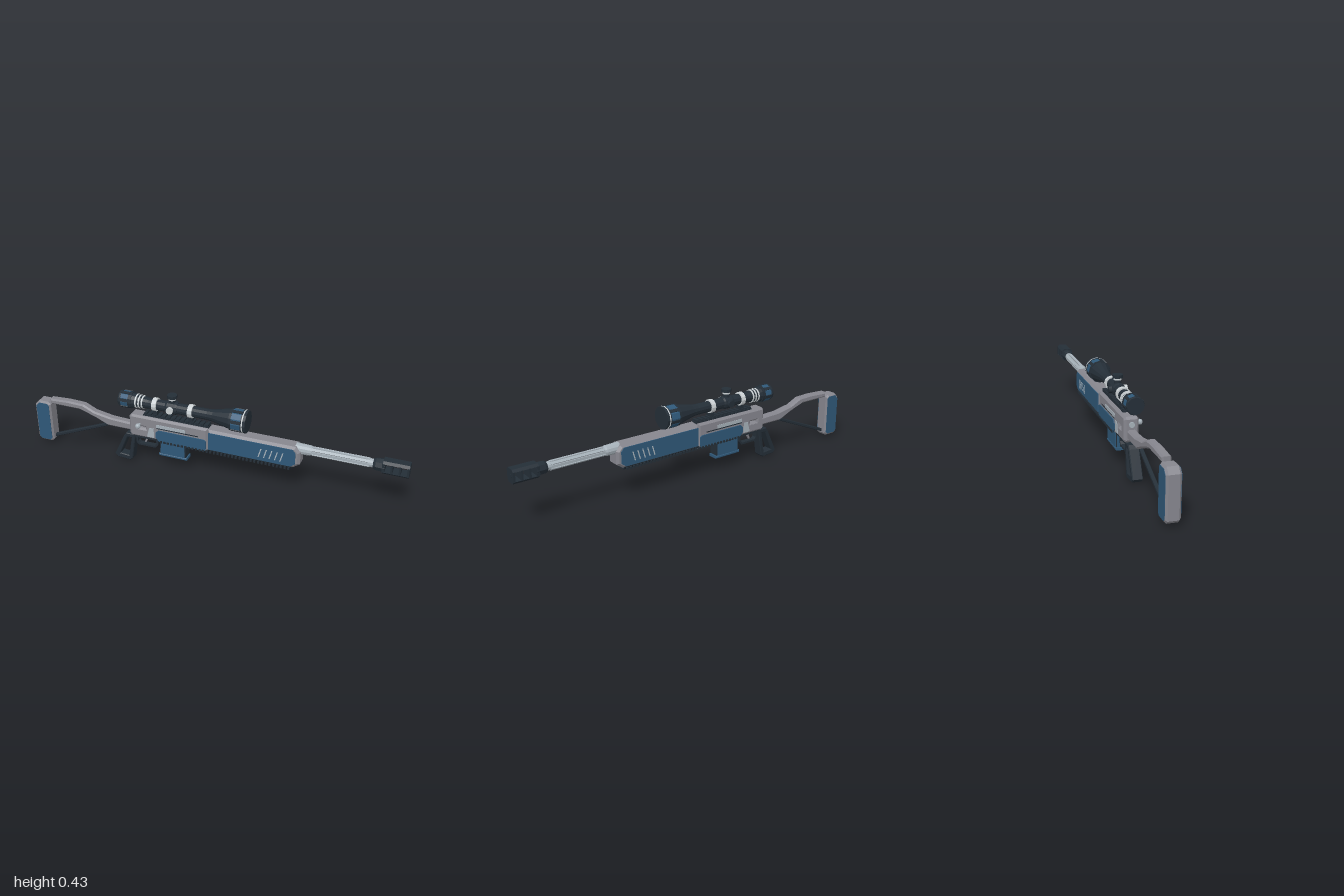
import * as THREE from 'three';

const mat = (name, color) => {
  const m = new THREE.MeshStandardMaterial({ color });
  m.name = name;
  return m;
};

export function createModel() {
  const blue = mat('blue panel', 0x2f5878);
  const dark = mat('dark metal', 0x242e37);
  const grey = mat('grey frame', 0x86868e);
  const light = mat('light steel', 0xa6b1b9);
  const pale = mat('pale steel', 0xcbd1d4);

  const root = new THREE.Group();
  root.name = 'longRifle';
  const body = new THREE.Group();
  body.name = 'body';
  body.position.z = -0.005;
  root.add(body);

  // every part is faceted
  const add = (name, geo, material) => {
    const g = geo.index ? geo.toNonIndexed() : geo;
    g.computeVertexNormals();
    const m = new THREE.Mesh(g, material);
    m.name = name;
    body.add(m);
    return m;
  };
  const path = (pts) => pts.map(([x, y]) => new THREE.Vector2(x, y));
  const rect = (x0, x1, y0, y1) => [[x0, y0], [x1, y0], [x1, y1], [x0, y1]];

  // side outline given thickness along z, edges chamfered by b
  const slab = (name, pts, half, b, material, holes = []) => {
    const s = new THREE.Shape(path(pts));
    holes.forEach((h) => s.holes.push(new THREE.Path(path(h).reverse())));
    const g = new THREE.ExtrudeGeometry(s, {
      depth: 2 * (half - b), bevelEnabled: b > 0, bevelThickness: b, bevelSize: b, bevelOffset: -b, bevelSegments: 1,
    });
    g.translate(0, 0, -(half - b));
    return add(name, g, material);
  };
  // cross-section in (z, y) run along x
  const prismX = (name, pts, x0, x1, material) => {
    const g = new THREE.ExtrudeGeometry(new THREE.Shape(path(pts)), { depth: x1 - x0, bevelEnabled: false });
    g.rotateY(Math.PI / 2).translate(x0, 0, 0);
    return add(name, g, material);
  };
  const box = (name, x0, x1, y0, y1, z0, z1, material) =>
    add(name, new THREE.BoxGeometry(x1 - x0, y1 - y0, z1 - z0)
      .translate((x0 + x1) / 2, (y0 + y1) / 2, (z0 + z1) / 2), material);
  // turned part along x, from [x, radius] pairs
  const turned = (name, prof, y, material, sides = 12) => {
    const p = [[0.0001, prof[0][0]], ...prof.map(([x, r]) => [r, x]), [0.0001, prof[prof.length - 1][0]]];
    const g = new THREE.LatheGeometry(path(p), sides).rotateZ(-Math.PI / 2).translate(0, y, 0);
    return add(name, g, material);
  };
  const panel = (name, pts, z, material) => [-1, 1].forEach((s) => {
    slab(name, pts, 0.0025, 0, material).position.z = s * z;
  });

  // --- shoulder stock ---
  slab('stockPad', [[-0.985, 0.02], [-0.92, 0.02], [-0.905, 0.035], [-0.905, 0.25], [-0.92, 0.262],
    [-0.975, 0.262], [-1, 0.235], [-1, 0.035]], 0.034, 0.009, grey);
  panel('stockPadPanel', [[-0.978, 0.03], [-0.925, 0.03], [-0.914, 0.041], [-0.914, 0.243], [-0.924, 0.252],
    [-0.971, 0.252], [-0.99, 0.231], [-0.99, 0.041]], 0.0335, blue);
  slab('stockTube', [[-0.43, 0.187], [-0.43, 0.23], [-0.55, 0.235], [-0.645, 0.252], [-0.71, 0.282], [-0.8, 0.285],
    [-0.91, 0.279], [-0.91, 0.25], [-0.735, 0.25], [-0.645, 0.22], [-0.57, 0.187]].reverse(), 0.022, 0.008, grey);
  slab('stockStrut', [[-0.91, 0.038], [-0.578, 0.176], [-0.58, 0.192], [-0.91, 0.056]], 0.009, 0.003, dark);

  // --- receiver, pierced behind the bolt ---
  slab('receiver', [[-0.425, 0.168], [-0.28, 0.168], [-0.265, 0.16], [0, 0.16], [0, 0.292], [-0.425, 0.292],
    [-0.435, 0.28], [-0.435, 0.18]], 0.036, 0.01, grey,
  [rect(-0.385, -0.345, 0.222, 0.23), rect(-0.385, -0.36, 0.196, 0.203)]);
  panel('receiverPanel', [[-0.265, 0.166], [-0.015, 0.166], [-0.008, 0.178], [-0.008, 0.222], [-0.02, 0.23],
    [-0.27, 0.23], [-0.285, 0.215], [-0.285, 0.185]], 0.039, blue);
  panel('receiverSideLid', rect(-0.28, -0.12, 0.244, 0.262), 0.036, light);
  panel('receiverLidGroove', rect(-0.28, -0.05, 0.238, 0.243), 0.035, dark);
  panel('receiverRearPlate', [[-0.335, 0.18], [-0.295, 0.18], [-0.295, 0.235], [-0.32, 0.235]], 0.036, light);
  box('receiverBase', -0.42, 0, 0.157, 0.168, -0.025, 0.025, dark);

  // --- toothed sight rail ---
  box('sightRail', -0.36, 0, 0.288, 0.299, -0.02, 0.02, dark);
  for (let i = 0; i < 14; i++) {
    const x = -0.355 + i * 0.026;
    box('railTooth', x, x + 0.014, 0.298, 0.308, -0.02, 0.02, dark);
  }

  // --- fore-end ---
  slab('handguard', [[0, 0.17], [0.445, 0.17], [0.48, 0.195], [0.48, 0.262], [0.455, 0.289], [0, 0.289]],
    0.039, 0.012, grey);
  panel('handguardPanel', [[0.006, 0.181], [0.435, 0.181], [0.458, 0.198], [0.458, 0.258], [0.442, 0.277],
    [0.006, 0.277]], 0.0405, blue);
  prismX('handguardUnderside', [[-0.026, 0.16], [0.026, 0.16], [0.038, 0.176], [-0.038, 0.176]], 0, 0.44, dark);
  for (let i = 0; i < 5; i++) {
    const x = 0.268 + i * 0.028;
    panel('handguardSlot', [[x, 0.2], [x + 0.006, 0.2], [x + 0.019, 0.248], [x + 0.013, 0.248]], 0.042, light);
  }
  // small teeth along both lower edges
  for (const s of [-1, 1]) {
    for (let i = 0; i < 36; i++) {
      const x = -0.26 + i * 0.0195;
      box('edgeTooth', x, x + 0.01, 0.161, 0.173, s * 0.04 - 0.005, s * 0.04 + 0.005, dark);
    }
  }

  // --- fluted barrel ---
  const by = 0.268;
  turned('barrelRoot', [[0.45, 0.028], [0.52, 0.026], [0.535, 0.022]], by, light, 12);
  turned('barrelCore', [[0.53, 0.0185], [0.84, 0.0185]], by, grey, 12);
  for (let i = 0; i < 8; i++) {
    const rib = add('barrelRib', new THREE.BoxGeometry(0.28, 0.006, 0.013).translate(0.67, 0.0195, 0), light);
    rib.position.y = by;
    rib.rotation.x = (i * Math.PI) / 4;
  }
  turned('barrelTip', [[0.8, 0.021], [0.84, 0.021]], by, light, 12);

  // --- muzzle brake with three open ports ---
  turned('muzzleCollar', [[0.828, 0.025], [0.84, 0.031], [0.885, 0.033]], by, dark, 8);
  prismX('muzzleTop', [[-0.031, 0.291], [0.031, 0.291], [0.02, 0.303], [-0.02, 0.303]], 0.875, 1, dark);
  prismX('muzzleBottom', [[-0.02, 0.234], [0.02, 0.234], [0.031, 0.246], [-0.031, 0.246]], 0.875, 1, dark);
  [[0.872, 0.884], [0.913, 0.922], [0.952, 0.961], [0.99, 1]].forEach(([a, b]) =>
    box('muzzleBaffle', a, b, 0.245, 0.292, -0.031, 0.031, dark));
  add('bore', new THREE.CylinderGeometry(0.012, 0.012, 0.002, 12).rotateZ(-Math.PI / 2)
    .translate(0.9995, by, 0), dark);

  // --- grip, trigger and magazine ---
  slab('gripFrame', [[-0.52, 0.008], [-0.445, 0.003], [-0.432, 0.015], [-0.408, 0.168], [-0.462, 0.168],
    [-0.475, 0.15], [-0.535, 0.025]], 0.026, 0.004, dark,
  [[[-0.503, 0.034], [-0.452, 0.03], [-0.432, 0.145], [-0.456, 0.145]]]);
  slab('triggerGuard', [[-0.395, 0.105], [-0.3, 0.105], [-0.285, 0.125], [-0.285, 0.17], [-0.41, 0.17], [-0.41, 0.12]],
    0.014, 0, dark, [[[-0.39, 0.115], [-0.305, 0.115], [-0.295, 0.128], [-0.295, 0.162], [-0.4, 0.162], [-0.4, 0.125]]]);
  slab('trigger', [[-0.365, 0.125], [-0.358, 0.122], [-0.348, 0.14], [-0.345, 0.165], [-0.36, 0.165], [-0.357, 0.142]],
    0.006, 0, grey);
  box('magazine', -0.268, -0.125, 0.085, 0.165, -0.025, 0.025, dark);
  panel('magazineSide', rect(-0.262, -0.131, 0.088, 0.158), 0.026, blue);
  box('magazineBack', -0.271, -0.267, 0.09, 0.158, -0.022, 0.022, blue);
  slab('magazineFoot', rect(-0.275, -0.118, 0.073, 0.088), 0.029, 0.004, blue);

  // --- bolt handle on the right-hand side ---
  add('boltArm', new THREE.CylinderGeometry(0.006, 0.006, 0.035, 8).rotateX(Math.PI / 2)
    .translate(-0.375, 0.247, 0.042), light);
  add('boltKnob', new THREE.IcosahedronGeometry(0.0145, 1).translate(-0.375, 0.245, 0.0565), light);
  turned('boltBody', [[-0.44, 0.014], [-0.3, 0.014]], 0.255, light, 10);

  // --- scope ---
  const sy = 0.36;
  turned('scopeTube', [[-0.425, 0.042], [-0.4, 0.036], [-0.33, 0.028], [-0.01, 0.028], [0.02, 0.031],
    [0.115, 0.053], [0.125, 0.053]], sy, dark);
  turned('eyepieceRim', [[-0.492, 0.041], [-0.485, 0.044], [-0.478, 0.044]], sy, dark);
  turned('eyepieceGrip', [[-0.48, 0.0425], [-0.435, 0.0425]], sy, blue);
  turned('eyepieceCollar', [[-0.437, 0.044], [-0.42, 0.044]], sy, dark);
  turned('objectiveCollar', [[0.113, 0.056], [0.125, 0.057]], sy, dark);
  turned('objectiveGrip', [[0.124, 0.0555], [0.176, 0.0555]], sy, blue);
  turned('objectiveRim', [[0.175, 0.058], [0.2, 0.058]], sy, dark);
  turned('objectiveBand', [[0.181, 0.0592], [0.187, 0.0592]], sy, pale);
  [[-0.4, 0.0375], [-0.383, 0.036], [-0.366, 0.0345]].forEach(([x, r]) =>
    turned('scopeBand', [[x, r], [x + 0.008, r]], sy, pale));
  for (let i = 0; i < 6; i++) {
    [[-0.457, 0.042, 0.046], [0.15, 0.0545, 0.052]].forEach(([x, r, w]) => {
      const lug = add('gripLug', new THREE.BoxGeometry(w, 0.006, 0.016).translate(x, r, 0), dark);
      lug.position.y = sy;
      lug.rotation.x = (i * Math.PI) / 3 + Math.PI / 12;
    });
  }
  // mounting rings
  [-0.295, -0.1].forEach((x) => {
    turned('mountRing', [[x - 0.012, 0.035], [x + 0.012, 0.035]], sy, pale);
    box('mountFoot', x - 0.011, x + 0.011, 0.303, 0.335, -0.016, 0.016, dark);
  });
  // adjustment turrets
  const knob = (name, r, h, y, material) => add(name, new THREE.CylinderGeometry(r, r, h, 12)
    .translate(-0.203, y, 0), material);
  turned('turretBlock', [[-0.235, 0.03], [-0.225, 0.034], [-0.18, 0.034], [-0.17, 0.03]], sy, dark);
  knob('turretStem', 0.018, 0.03, 0.4, dark);
  knob('turretBand', 0.02, 0.01, 0.411, pale);
  knob('turretCap', 0.026, 0.016, 0.424, dark);
  [-1, 1].forEach((s) => add('sideTurret', new THREE.CylinderGeometry(0.018, 0.018, 0.016, 12)
    .rotateX(Math.PI / 2).translate(-0.203, sy, s * 0.038), s > 0 ? pale : dark));

  return root;
}
